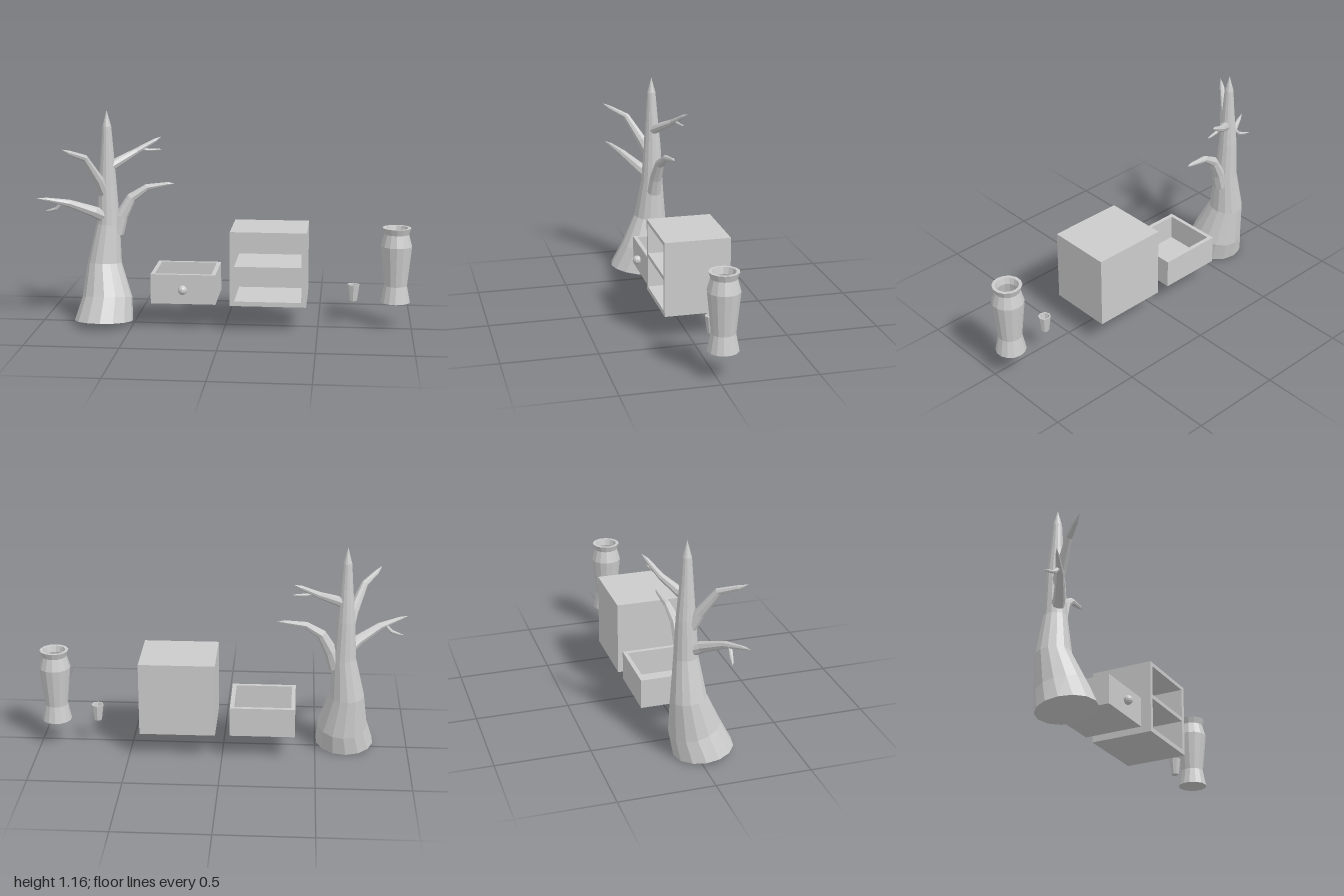
import * as THREE from 'three';

const material = new THREE.MeshStandardMaterial({ color: 0xcccccc, flatShading: true });

function addMesh(parent, name, geometry, x = 0, y = 0, z = 0) {
  const mesh = new THREE.Mesh(geometry, material);
  mesh.name = name;
  mesh.position.set(x, y, z);
  parent.add(mesh);
  return mesh;
}

// Tapered limb through points [x, y, z, radius], closed at the start
function limb(points, sides, startDirection) {
  const centres = points.map(p => new THREE.Vector3(p[0], p[1], p[2]));
  const last = centres.length - 1;
  const span = centres[last].clone().sub(centres[0]);
  const side = new THREE.Vector3(span.z, 0, -span.x).normalize();
  const rings = centres.map((c, i) => {
    const t = centres[Math.min(i + 1, last)].clone().sub(centres[Math.max(i - 1, 0)]);
    if (i === 0 && startDirection) t.copy(startDirection);
    t.normalize();
    const u = side.clone().addScaledVector(t, -side.dot(t)).normalize();
    return { c, u, v: t.clone().cross(u), r: points[i][3] };
  });
  rings.unshift({ ...rings[0], r: 0 });

  const positions = [], index = [];
  for (const { c, u, v, r } of rings) {
    for (let j = 0; j < sides; j++) {
      const a = (j / sides) * Math.PI * 2;
      const p = c.clone().addScaledVector(u, r * Math.cos(a)).addScaledVector(v, r * Math.sin(a));
      positions.push(p.x, p.y, p.z);
    }
  }
  for (let i = 0; i < rings.length - 1; i++) {
    for (let j = 0; j < sides; j++) {
      const k = (j + 1) % sides;
      const a = i * sides + j, b = i * sides + k;
      index.push(a, b, b + sides, a, b + sides, a + sides);
    }
  }
  const geometry = new THREE.BufferGeometry();
  geometry.setAttribute('position', new THREE.Float32BufferAttribute(positions, 3));
  geometry.setIndex(index);
  const flat = geometry.toNonIndexed();
  flat.computeVertexNormals();
  return flat;
}

// Rectangle traced as a shape or a hole
function rect(path, x0, y0, x1, y1) {
  path.moveTo(x0, y0);
  path.lineTo(x1, y0);
  path.lineTo(x1, y1);
  path.lineTo(x0, y1);
  path.closePath();
  return path;
}

function frame(outer, holes, depth) {
  const shape = rect(new THREE.Shape(), ...outer);
  for (const h of holes) shape.holes.push(rect(new THREE.Path(), ...h));
  return new THREE.ExtrudeGeometry(shape, { depth, bevelEnabled: false });
}

function lathe(profile, sides) {
  return new THREE.LatheGeometry(profile.map(p => new THREE.Vector2(p[0], p[1])), sides);
}

function createTree() {
  const tree = new THREE.Group();
  tree.name = 'tree';
  addMesh(tree, 'trunk', limb([
    [-0.66, 0.021, 0.045, 0.158], [-0.646, 0.14, 0.003, 0.136], [-0.665, 0.325, -0.035, 0.093],
    [-0.643, 0.54, -0.043, 0.063], [-0.645, 0.75, -0.046, 0.05], [-0.643, 0.93, -0.043, 0.035],
    [-0.643, 1.07, -0.042, 0.024], [-0.643, 1.157, -0.042, 0],
  ], 14, new THREE.Vector3(0, 1, -0.13)));

  const branches = {
    upperRightBranch: [[-0.66, 0.70, -0.03, 0.032], [-0.683, 0.785, 0.01, 0.029],
      [-0.742, 0.915, 0.085, 0.019], [-0.808, 0.953, 0.165, 0.013], [-0.838, 0.976, 0.204, 0]],
    lowerRightBranch: [[-0.65, 0.575, -0.03, 0.036], [-0.71, 0.615, 0.02, 0.03],
      [-0.83, 0.672, 0.092, 0.02], [-0.94, 0.7, 0.142, 0.01], [-0.99, 0.708, 0.167, 0]],
    lowerRightTwig: [[-0.86, 0.68, 0.105, 0.011], [-0.895, 0.642, 0.1, 0.01],
      [-0.935, 0.63, 0.092, 0.007], [-0.965, 0.628, 0.083, 0]],
    upperLeftBranch: [[-0.64, 0.845, -0.035, 0.028], [-0.58, 0.88, -0.075, 0.024],
      [-0.5, 0.924, -0.13, 0.017], [-0.405, 0.978, -0.172, 0.011], [-0.37, 0.998, -0.19, 0]],
    upperLeftTwig: [[-0.49, 0.937, -0.138, 0.01], [-0.435, 0.93, -0.148, 0.008],
      [-0.385, 0.931, -0.158, 0.006], [-0.36, 0.933, -0.163, 0]],
    lowerLeftBranch: [[-0.6, 0.49, -0.045, 0.042], [-0.572, 0.58, -0.05, 0.036],
      [-0.518, 0.68, -0.06, 0.027], [-0.435, 0.736, -0.075, 0.018],
      [-0.32, 0.755, -0.088, 0.01], [-0.286, 0.757, -0.092, 0]],
  };
  for (const [name, points] of Object.entries(branches)) addMesh(tree, name, limb(points, 8));
  return tree;
}

function createDrawer() {
  const drawer = new THREE.Group();
  drawer.name = 'drawer';
  // Walls are extruded upward; shape y becomes -z
  const walls = frame([-0.39, -0.126, -0.043, 0.2], [[-0.369, -0.104, -0.066, 0.178]], 0.14);
  addMesh(drawer, 'drawerWalls', walls.rotateX(-Math.PI / 2), 0, 0.162, 0);
  addMesh(drawer, 'drawerFloor', new THREE.BoxGeometry(0.347, 0.02, 0.326), -0.2165, 0.152, -0.037);
  addMesh(drawer, 'drawerKnob', new THREE.SphereGeometry(0.025, 12, 8), -0.217, 0.222, 0.142);
  return drawer;
}

function createCabinet() {
  const cabinet = new THREE.Group();
  cabinet.name = 'cabinet';
  const openings = [[0.058, 0.167, 0.414, 0.334], [0.058, 0.356, 0.414, 0.521]];
  addMesh(cabinet, 'cabinetFrame', frame([0.035, 0.142, 0.44, 0.542], openings, 0.325), 0, 0, -0.182);
  addMesh(cabinet, 'cabinetBack', new THREE.BoxGeometry(0.405, 0.4, 0.023), 0.2375, 0.342, -0.1935);
  return cabinet;
}

export function createModel() {
  const model = new THREE.Group();
  model.name = 'treeAndFurniture';
  model.add(createTree(), createDrawer(), createCabinet());

  // Hollow vessels: outer wall upward, over the rim, inner wall down
  addMesh(model, 'cup', lathe([
    [0, 0.142], [0.021, 0.142], [0.033, 0.232], [0.026, 0.232], [0.016, 0.152], [0, 0.152],
  ], 8), 0.687, 0, -0.035);
  addMesh(model, 'vase', lathe([
    [0, 0.142], [0.08, 0.142], [0.062, 0.233], [0.084, 0.448], [0.066, 0.513], [0.077, 0.547],
    [0.06, 0.547], [0.052, 0.513], [0.068, 0.448], [0.048, 0.233], [0.06, 0.165], [0, 0.165],
  ], 14), 0.912, 0, -0.033);
  return model;
}
